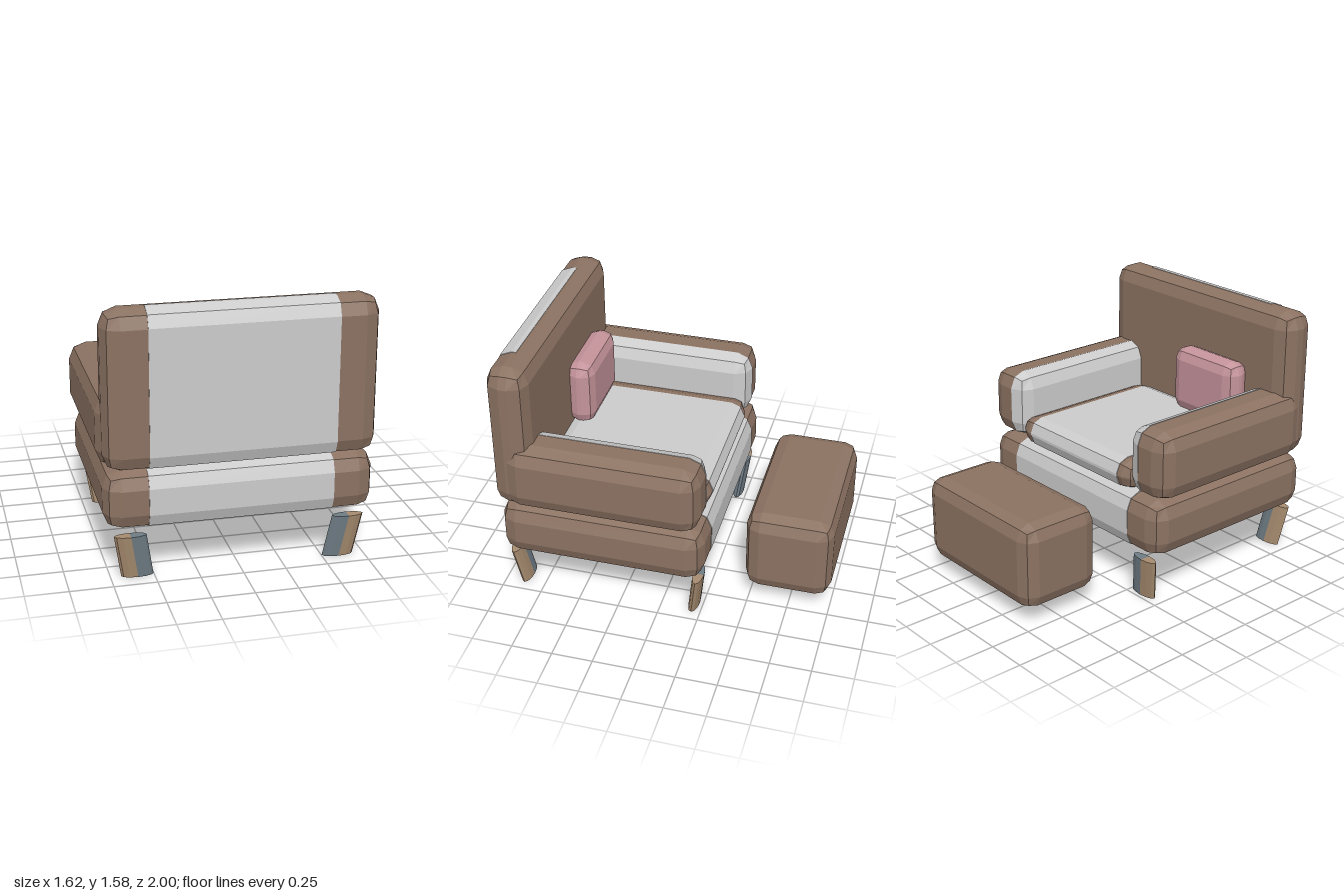
import * as THREE from 'three';
import { RoundedBoxGeometry } from 'three/addons/geometries/RoundedBoxGeometry.js';

const material = (color) => new THREE.MeshStandardMaterial({ color, flatShading: true });

export function createModel() {
  const brown = material(0x8b7262);
  const grey = material(0xcccccc);
  const pink = material(0xc4939a);
  const wood = material(0xa68b6f);
  const slate = material(0x6f7c85);
  const group = new THREE.Group();

  const add = (name, geometry, mat) => {
    const mesh = new THREE.Mesh(geometry, mat);
    mesh.name = name;
    group.add(mesh);
    return mesh;
  };

  // Box with two-step bevelled edges, given by its low and high corners
  const bevelled = (min, max, radius, grow = 0) => {
    const size = min.map((v, i) => max[i] - v + 2 * grow);
    const geometry = new RoundedBoxGeometry(...size, 1, radius);
    geometry.translate(...min.map((v, i) => (v + max[i]) / 2));
    geometry.computeVertexNormals();
    return geometry;
  };

  // Fabric panel: the same bevelled box, a hair larger, clamped to a region
  const panel = (min, max, radius, low, high) => {
    const geometry = bevelled(min, max, radius, 0.003);
    const p = geometry.attributes.position;
    const a = new THREE.Vector3(...low);
    const b = new THREE.Vector3(...high);
    const v = new THREE.Vector3();
    for (let i = 0; i < p.count; i++) {
      v.fromBufferAttribute(p, i).clamp(a, b);
      p.setXYZ(i, v.x, v.y, v.z);
    }
    geometry.computeVertexNormals();
    return geometry;
  };

  // Base
  const base = [[-0.785, 0.3, -0.28], [0.785, 0.65, 0.97], 0.1];
  add('base', bevelled(...base), brown);
  add('basePanel', panel(...base, [-0.535, -9, -9], [0.535, 9, 9]), grey);

  // Backrest, with its panel on the rear half
  const back = [[-0.785, 0.655, 0.75], [0.785, 1.58, 1], 0.1];
  add('backrest', bevelled(...back), brown);
  add('backrestPanel', panel(...back, [-0.535, -9, 0.875], [0.535, 9, 9]), grey);

  // Seat cushion
  const seat = [[-0.53, 0.64, -0.255], [0.53, 0.82, 0.78], 0.085];
  add('seatCushion', bevelled(...seat), brown);
  add('seatPanel', panel(...seat, [-0.41, -9, -9], [0.41, 9, 9]), grey);

  // Armrests, pale on the inner side
  for (const [side, s] of [['left', 1], ['right', -1]]) {
    const x = [s * 0.5, s * 0.81].sort((a, b) => a - b);
    const arm = [[x[0], 0.66, -0.26], [x[1], 1.08, 0.925], 0.1];
    const inner = [s * 0.4, s * 0.6].sort((a, b) => a - b);
    add(side + 'Armrest', bevelled(...arm), brown);
    add(side + 'ArmrestPanel', panel(...arm, [inner[0], -9, -9], [inner[1], 9, 9]), grey);
  }

  // Throw pillow
  add('pillow', bevelled([-0.48, 0.8, 0.605], [0.05, 1.22, 0.78], 0.075), pink);

  // Footstool
  add('footstool', bevelled([-0.5, 0.1, -1], [0.5, 0.63, -0.47], 0.09), brown);

  // Slanted oval legs: each is two half shells, wood outside and slate inside
  const legHeight = 0.265;
  for (const s of [1, -1]) {
    for (const [end, zTop, zBottom] of [['rear', 0.917, 0.88], ['front', -0.23, -0.195]]) {
      for (const outer of [true, false]) {
        const start = (s > 0) === outer ? 0 : Math.PI;
        const geometry = new THREE.CylinderGeometry(1, 1, legHeight, 6, 1, false, start, Math.PI);
        geometry.scale(0.093, 1, 0.033);
        geometry.translate(0, legHeight / 2, 0);
        const p = geometry.attributes.position;
        for (let i = 0; i < p.count; i++) {
          const t = p.getY(i) / legHeight;
          p.setX(i, p.getX(i) + s * THREE.MathUtils.lerp(0.595, 0.638, t));
          p.setZ(i, p.getZ(i) + THREE.MathUtils.lerp(zBottom, zTop, t));
        }
        geometry.computeVertexNormals();
        const name = (s > 0 ? 'left' : 'right') + (end === 'rear' ? 'Rear' : 'Front') + 'Leg';
        add(name + (outer ? 'Outer' : 'Inner'), geometry, outer ? wood : slate);
      }
    }
  }

  return group;
}
